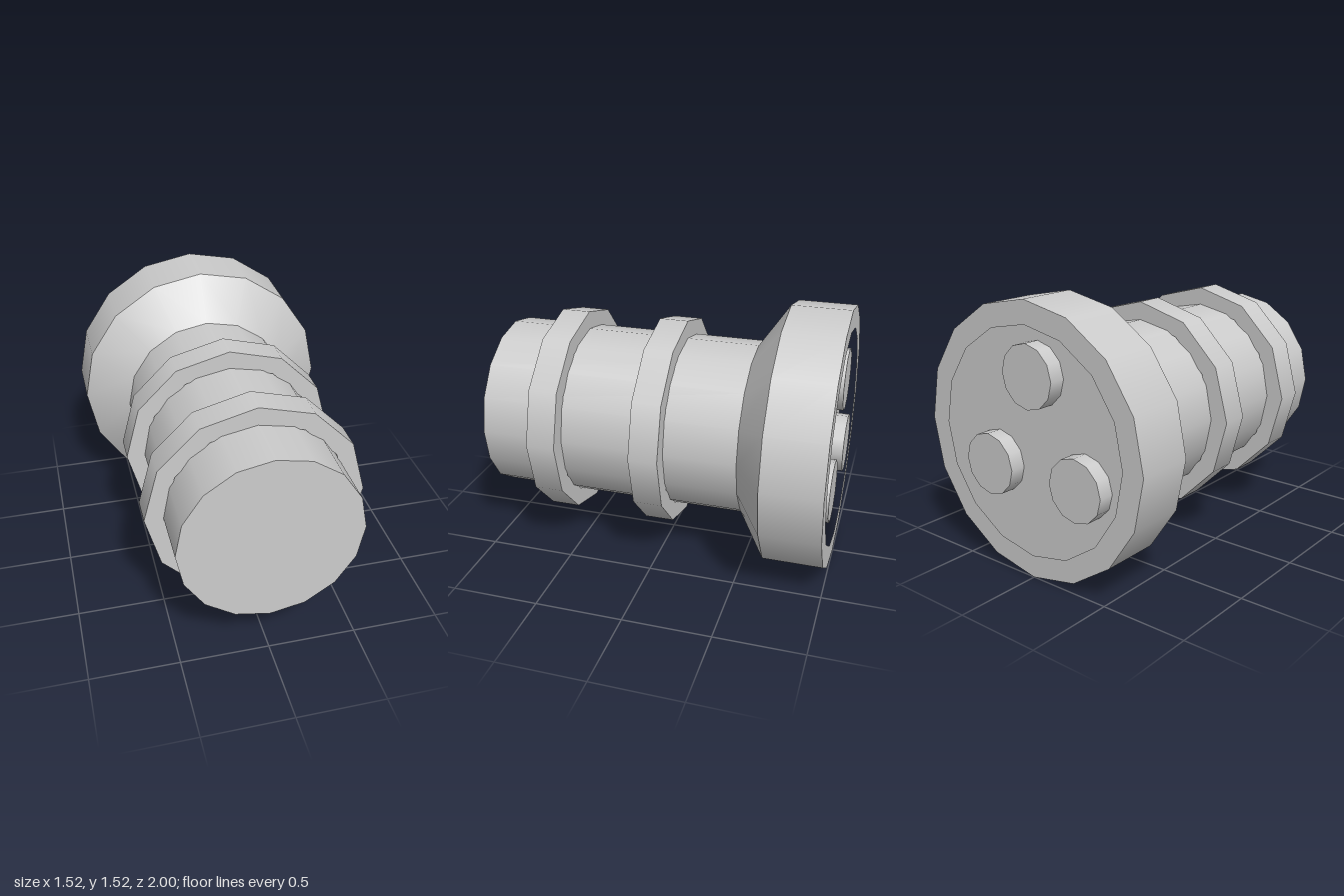
import * as THREE from 'three';
import { mergeGeometries } from 'three/addons/utils/BufferGeometryUtils.js';

const AXIS_Y = 0.758;

// Revolve [radius, z] points around the z axis; each band is smooth, corners stay sharp.
function revolve(points, sides) {
  const bands = [];
  for (let i = 0; i < points.length - 1; i++) {
    const pair = [points[i], points[i + 1]].map(([r, z]) => new THREE.Vector2(r, z));
    bands.push(new THREE.LatheGeometry(pair, sides));
  }
  return mergeGeometries(bands).rotateX(Math.PI / 2);
}

export function createModel() {
  const model = new THREE.Group();
  model.name = 'plug';
  const grey = new THREE.MeshStandardMaterial({ color: 0xcccccc });
  grey.name = 'grey';

  const add = (name, points, sides, x = 0, y = 0) => {
    const mesh = new THREE.Mesh(revolve(points, sides), grey);
    mesh.name = name;
    mesh.position.set(x, AXIS_Y + y, 0);
    model.add(mesh);
  };

  // Main barrel with closed front
  add('barrel', [[0.506, -0.495], [0.506, 1], [0, 1]], 16);

  // Flared head: flat rim, outer wall, cone down to the barrel
  add('head', [[0.63, -1], [0.758, -1], [0.758, -0.665], [0.506, -0.495]], 16);

  // Recessed plate behind the rim
  add('backPlate', [[0, -0.91], [0.757, -0.91]], 16);

  // Two collars, with fewer sides than the barrel
  for (const z of [0.0, 0.6]) {
    const a = z - 0.082, b = z + 0.084;
    add('collar', [[0.506, a], [0.61, a], [0.61, b], [0.506, b], [0.506, a]], 12);
  }

  // Three round contacts on the back plate
  for (let i = 0; i < 3; i++) {
    const t = Math.PI / 2 + i * Math.PI * 2 / 3;
    add('contact', [[0, -1], [0.175, -1], [0.175, -0.91]], 12, 0.36 * Math.cos(t), 0.36 * Math.sin(t));
  }
  return model;
}
